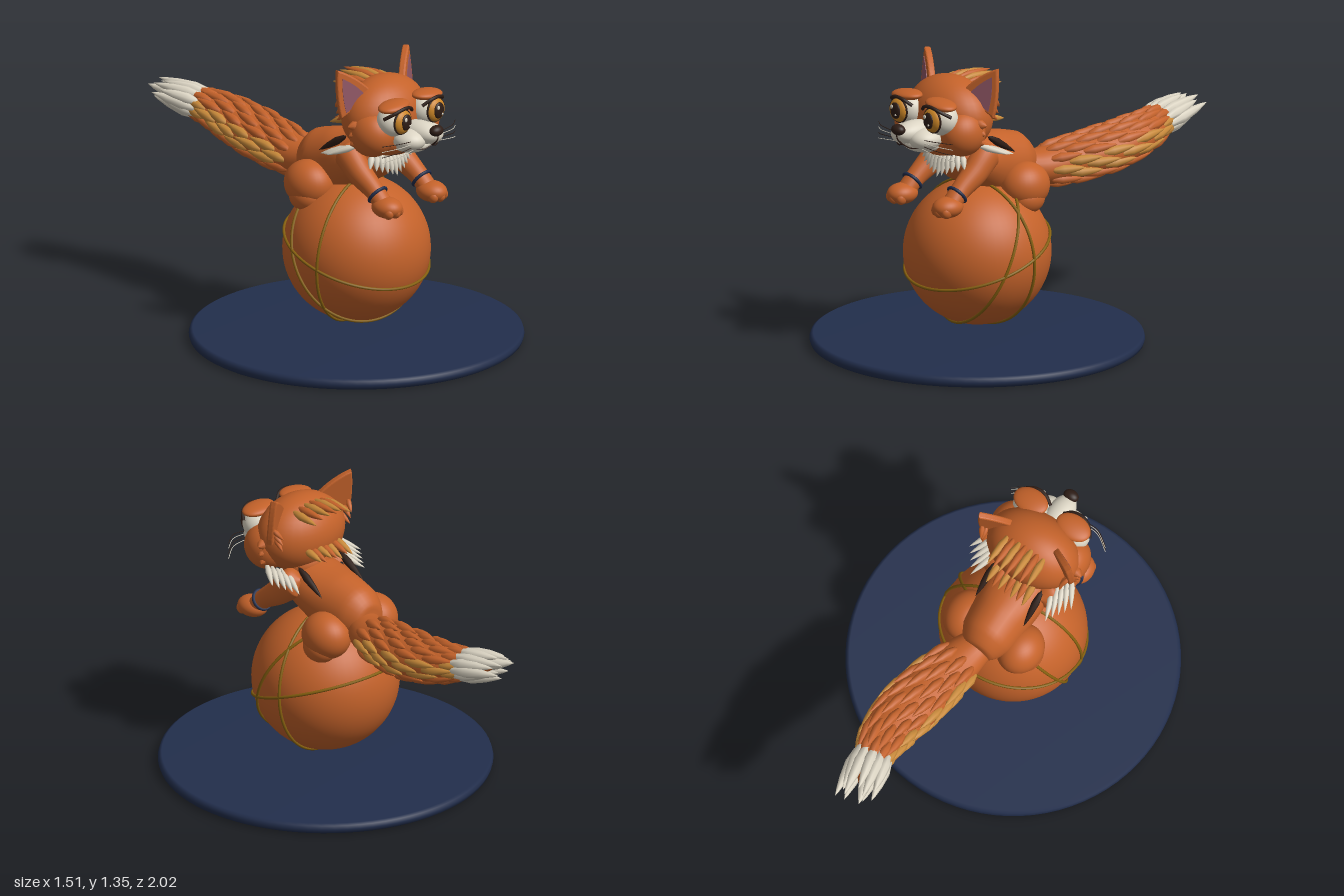
import * as THREE from 'three';

const mat = (name, color) => {
  const m = new THREE.MeshStandardMaterial({ color });
  m.name = name;
  return m;
};
const M = {
  fur: mat('orange fur', 0xc4622a),
  gold: mat('golden fur', 0xc98a3a),
  cream: mat('cream fur', 0xdcd5c4),
  dark: mat('dark brown', 0x2e1d16),
  amber: mat('amber iris', 0xcb8526),
  pink: mat('inner ear', 0x8f5664),
  navy: mat('navy', 0x222e4c),
  band: mat('brass band', 0x85600f),
};
const V = (x, y, z) => new THREE.Vector3(x, y, z);

function add(parent, name, geo, material, x = 0, y = 0, z = 0) {
  const mesh = new THREE.Mesh(geo, material);
  mesh.name = name;
  mesh.position.set(x, y, z);
  parent.add(mesh);
  return mesh;
}

const unitBall = new THREE.SphereGeometry(1, 32, 24);
function blob(parent, name, material, [x, y, z], [rx, ry, rz]) {
  const mesh = add(parent, name, unitBall, material, x, y, z);
  mesh.scale.set(rx, ry, rz);
  return mesh;
}

// Pointed lock of fur running from a to b
const leaf = new THREE.LatheGeometry(
  [[0, 0], [0.6, 0.1], [1, 0.35], [0.75, 0.65], [0.35, 0.87], [0, 1]].map(p => new THREE.Vector2(...p)), 8);
function lock(parent, name, material, a, b, r, flat = 1) {
  const mesh = add(parent, name, leaf, material, a.x, a.y, a.z);
  const d = b.clone().sub(a);
  mesh.scale.set(r, d.length(), r * flat);
  mesh.quaternion.setFromUnitVectors(V(0, 1, 0), d.normalize());
  return mesh;
}

// Surface swept through elliptical sections [x, y, z, rx, ry]
function sweep(sections) {
  const path = new THREE.CatmullRomCurve3(sections.map(s => V(s[0], s[1], s[2])));
  const radii = new THREE.CatmullRomCurve3(sections.map(s => V(s[3], s[4], 0)));
  const at = (t, angle, k = 1) => {
    const tan = path.getTangent(t), r = radii.getPoint(t);
    const side = V(0, 1, 0).cross(tan).normalize(), up = tan.clone().cross(side);
    return path.getPoint(t).addScaledVector(side, Math.cos(angle) * r.x * k)
      .addScaledVector(up, Math.sin(angle) * r.y * k);
  };
  const rows = 36, n = 28, pos = [], index = [];
  for (let i = 0; i <= rows; i++)
    for (let j = 0; j < n; j++) {
      pos.push(...at(i / rows, j / n * Math.PI * 2).toArray());
      if (i === rows) continue;
      const a = i * n + j, b = i * n + (j + 1) % n;
      index.push(a, b, a + n, b, b + n, a + n);
    }
  const geo = new THREE.BufferGeometry();
  geo.setAttribute('position', new THREE.Float32BufferAttribute(pos, 3));
  geo.setIndex(index);
  geo.computeVertexNormals();
  return { geo, at };
}

const tube = (points, r) => new THREE.TubeGeometry(new THREE.CatmullRomCurve3(points), 20, r, 6);

function makeBase(root) {
  const profile = [[0, 0], [0.738, 0], [0.751, 0.008], [0.756, 0.025], [0.751, 0.042], [0.738, 0.05], [0, 0.05]];
  add(root, 'platform', new THREE.LatheGeometry(profile.map(p => new THREE.Vector2(...p)), 80), M.navy, 0, 0, 0.243);

  const ball = new THREE.Group();
  ball.name = 'ball';
  ball.position.set(0, 0.432, 0.243);
  root.add(ball);
  add(ball, 'ballSurface', new THREE.SphereGeometry(0.335, 56, 40), M.fur);
  // Great-circle bands, each through two directions
  const pairs = [[V(1, 0, 0), V(0, -0.34, 0.94)], [V(0, 1, 0.06), V(-1, 0, 0.15)], [V(0, -0.313, 0.14), V(-0.33, -0.05, -0.075)]];
  for (const [a, b] of pairs) {
    const band = add(ball, 'ballBand', new THREE.TorusGeometry(0.339, 0.007, 8, 80), M.band);
    band.quaternion.setFromUnitVectors(V(0, 0, 1), a.clone().cross(b).normalize());
  }
}

function makeBody(root) {
  const torso = sweep([[0, 0.8, -0.065, 0.005, 0.005], [0, 0.8, -0.05, 0.075, 0.08], [0, 0.81, 0.03, 0.125, 0.14],
    [0, 0.83, 0.15, 0.138, 0.15], [0, 0.87, 0.27, 0.15, 0.125], [0, 0.9, 0.36, 0.14, 0.11],
    [0, 0.92, 0.43, 0.09, 0.07], [0, 0.93, 0.45, 0.005, 0.005]]);
  add(root, 'torso', torso.geo, M.fur);
  blob(root, 'neck', M.fur, [0, 0.97, 0.36], [0.13, 0.1, 0.1]);

  for (const s of [-1, 1]) {
    blob(root, 'thigh', M.fur, [s * 0.145, 0.738, 0.085], [0.105, 0.108, 0.12]);
    blob(root, 'hindFoot', M.fur, [s * 0.175, 0.685, 0.095], [0.07, 0.07, 0.085]);
    const arm = sweep([[s * 0.125, 0.94, 0.27, 0.01, 0.01], [s * 0.135, 0.92, 0.31, 0.065, 0.07],
      [s * 0.148, 0.85, 0.39, 0.056, 0.06], [s * 0.152, 0.785, 0.48, 0.045, 0.045], [s * 0.155, 0.73, 0.54, 0.045, 0.04]]);
    add(root, 'arm', arm.geo, M.fur);
    blob(root, 'frontPaw', M.fur, [s * 0.155, 0.725, 0.555], [0.064, 0.048, 0.075]);
    for (const k of [-1, 0, 1])
      blob(root, 'toe', M.fur, [s * 0.155 + k * 0.034, 0.712, 0.602 - Math.abs(k) * 0.012], [0.022, 0.028, 0.028]);
    const cuff = add(root, 'bracelet', new THREE.TorusGeometry(0.046, 0.008, 8, 28), M.navy, s * 0.153, 0.773, 0.497);
    cuff.quaternion.setFromUnitVectors(V(0, 0, 1), V(0, -0.62, 0.78).normalize());
    lock(root, 'shoulderLock', M.dark, V(s * 0.125, 1.0, 0.29), V(s * 0.13, 0.9, 0.13), 0.018);
  }

  // Cream bib fanned over the chest
  for (let i = -5; i <= 5; i++) {
    const x = i / 5, drop = 0.82 + 0.055 * Math.abs(x);
    lock(root, 'bibLock', M.cream, V(x * 0.1, 0.935, 0.45 - 0.03 * x * x),
      V(x * 0.145, drop, 0.485 - 0.04 * x * x), 0.016);
  }
}

function makeTail(root) {
  const tail = new THREE.Group();
  tail.name = 'tail';
  root.add(tail);
  const core = sweep([[0, 0.78, 0.02, 0.07, 0.07], [0.04, 0.77, -0.1, 0.1, 0.085], [0.07, 0.78, -0.25, 0.115, 0.095],
    [0.1, 0.8, -0.42, 0.13, 0.097], [0.12, 0.83, -0.58, 0.115, 0.09], [0.1, 0.87, -0.74, 0.085, 0.065],
    [0.06, 0.9, -0.88, 0.03, 0.03], [0.04, 0.915, -0.93, 0.004, 0.004]]);
  add(tail, 'tailCore', core.geo, M.fur);
  // Overlapping locks, golden along both sides
  const rows = 8, count = 10;
  for (let i = 0; i < rows; i++)
    for (let j = 0; j < count; j++) {
      const t = 0.15 + i * 0.073, a = (j + (i % 2) / 2) / count * Math.PI * 2;
      const side = Math.abs(Math.cos(a)) > 0.9;
      lock(tail, 'tailLock', side ? M.gold : M.fur, core.at(t, a, 0.92), core.at(t + 0.145, a + 0.1, 1.07), 0.023);
    }
  // Cream tip
  for (let j = 0; j < 12; j++) {
    const a = j / 12 * Math.PI * 2, long = j % 2 ? 0 : 0.045;
    lock(tail, 'tailTip', M.cream, core.at(0.7, a, 0.85),
      V(0.05 + 0.075 * Math.cos(a + Math.PI), 0.915 + 0.035 * Math.sin(a), -0.94 - long + 0.035 * Math.cos(a)), 0.028);
  }
  lock(tail, 'tailTip', M.cream, V(0.09, 0.875, -0.77), V(0.01, 0.935, -1), 0.035);
}

function makeHead(root) {
  const head = new THREE.Group();
  head.name = 'head';
  root.add(head);
  blob(head, 'skull', M.fur, [0, 1.105, 0.405], [0.228, 0.178, 0.165]);
  blob(head, 'jaw', M.fur, [0, 1.02, 0.46], [0.17, 0.095, 0.13]);

  // Muzzle and nose
  blob(head, 'snout', M.cream, [0, 1.06, 0.62], [0.062, 0.052, 0.105]);
  blob(head, 'chin', M.cream, [0, 1.0, 0.575], [0.1, 0.04, 0.08]);
  blob(head, 'nose', M.dark, [0, 1.085, 0.715], [0.037, 0.025, 0.028]);
  add(head, 'lipLine', tube([V(0, 1.065, 0.724), V(0, 1.04, 0.718), V(0, 1.012, 0.69)], 0.004), M.dark);

  for (const s of [-1, 1]) {
    blob(head, 'cheek', M.fur, [s * 0.155, 1.055, 0.465], [0.095, 0.105, 0.11]);
    blob(head, 'chop', M.cream, [s * 0.06, 1.035, 0.605], [0.072, 0.05, 0.08]);
    add(head, 'mouthLine', tube([V(s * 0.004, 1.012, 0.69), V(s * 0.04, 1.0, 0.677), V(s * 0.085, 1.005, 0.655)], 0.003), M.dark);

    // Eyes
    blob(head, 'eyeWhite', M.cream, [s * 0.115, 1.13, 0.555], [0.082, 0.075, 0.068]);
    blob(head, 'iris', M.amber, [s * 0.115, 1.133, 0.61], [0.055, 0.055, 0.03]);
    add(head, 'irisRim', new THREE.TorusGeometry(0.055, 0.005, 6, 32), M.dark, s * 0.115, 1.133, 0.612);
    blob(head, 'pupil', M.dark, [s * 0.113, 1.135, 0.634], [0.032, 0.038, 0.012]);
    blob(head, 'glint', M.cream, [s * 0.113 - 0.014, 1.152, 0.644], [0.009, 0.01, 0.004]);
    blob(head, 'glint', M.cream, [s * 0.113 + 0.012, 1.118, 0.644], [0.005, 0.005, 0.004]);
    blob(head, 'eyelid', M.fur, [s * 0.115, 1.198, 0.56], [0.085, 0.024, 0.06]).rotation.z = -s * 0.08;
    add(head, 'lashLine', tube([V(s * 0.035, 1.168, 0.6), V(s * 0.075, 1.193, 0.622), V(s * 0.12, 1.198, 0.625),
      V(s * 0.165, 1.182, 0.61), V(s * 0.198, 1.155, 0.57)], 0.008), M.dark);

    // Ears, turned outward
    const ear = new THREE.Group();
    ear.name = 'ear';
    ear.position.set(s * 0.175, 1.19, 0.385);
    ear.rotation.set(-0.12, s * 0.5, 0);
    head.add(ear);
    const outer = new THREE.Shape();
    outer.moveTo(s * 0.07, 0.155);
    outer.quadraticCurveTo(s * 0.085, 0.05, s * 0.073, -0.05);
    outer.lineTo(s * -0.08, 0.03);
    outer.quadraticCurveTo(s * -0.02, 0.11, s * 0.07, 0.155);
    add(ear, 'earShell', new THREE.ExtrudeGeometry(outer, { depth: 0.016, bevelThickness: 0.008, bevelSize: 0.008, bevelSegments: 3, curveSegments: 10 }), M.fur, 0, 0, -0.008);
    const inner = new THREE.Shape();
    inner.moveTo(s * 0.056, 0.125);
    inner.quadraticCurveTo(s * 0.068, 0.05, s * 0.054, -0.035);
    inner.lineTo(s * -0.05, 0.025);
    inner.quadraticCurveTo(s * -0.01, 0.085, s * 0.056, 0.125);
    add(ear, 'innerEar', new THREE.ExtrudeGeometry(inner, { depth: 0.006, bevelEnabled: false }), M.pink, 0, 0, 0.013);
    for (let i = 0; i < 3; i++)
      lock(ear, 'earTuft', M.fur, V(s * (0.07 - i * 0.02), 0.02 - i * 0.03, -0.005), V(s * 0.075, -0.02 - i * 0.03, -0.065), 0.013);

    // Cheek ruff
    for (let i = 0; i < 5; i++) {
      lock(head, 'cheekRuff', M.cream, V(s * (0.2 - i * 0.012), 1.0 - i * 0.008, 0.42 - i * 0.02),
        V(s * (0.275 - i * 0.018), 0.95 - i * 0.008, 0.3 - i * 0.025), 0.015);
    }
    for (let i = 0; i < 3; i++)
      lock(head, 'cheekPoint', M.fur, V(s * 0.19, 1.1 - i * 0.035, 0.43), V(s * (0.258 - i * 0.008), 1.1 - i * 0.045, 0.41), 0.028);

    // Whiskers
    for (let i = 0; i < 4; i++) {
      const y = 1.045 - i * 0.014;
      add(head, 'whisker', tube([V(s * 0.09, y, 0.655), V(s * 0.18, y + 0.008 - i * 0.006, 0.655),
        V(s * 0.255, y + 0.004 - i * 0.012, 0.61)], 0.0016), i % 2 ? M.cream : M.dark);
    }
  }

  // Crest on the crown and locks on the nape, both swept back
  for (let i = -3; i <= 3; i++) {
    const x = i * 0.032, m = i % 2 ? M.gold : M.fur;
    lock(head, 'crestLock', m, V(x, 1.262 - 0.002 * i * i, 0.36), V(x * 1.1, 1.27 - 0.004 * i * i, 0.165 + 0.008 * Math.abs(i)), 0.019);
    lock(head, 'napeLock', m, V(x * 0.95, 1.08, 0.29), V(x, 1.045 + 0.012 * (i % 2), 0.165), 0.018);
  }
}

export function createModel() {
  const root = new THREE.Group();
  root.name = 'foxOnBall';
  makeBase(root);
  makeBody(root);
  makeTail(root);
  makeHead(root);
  return root;
}
